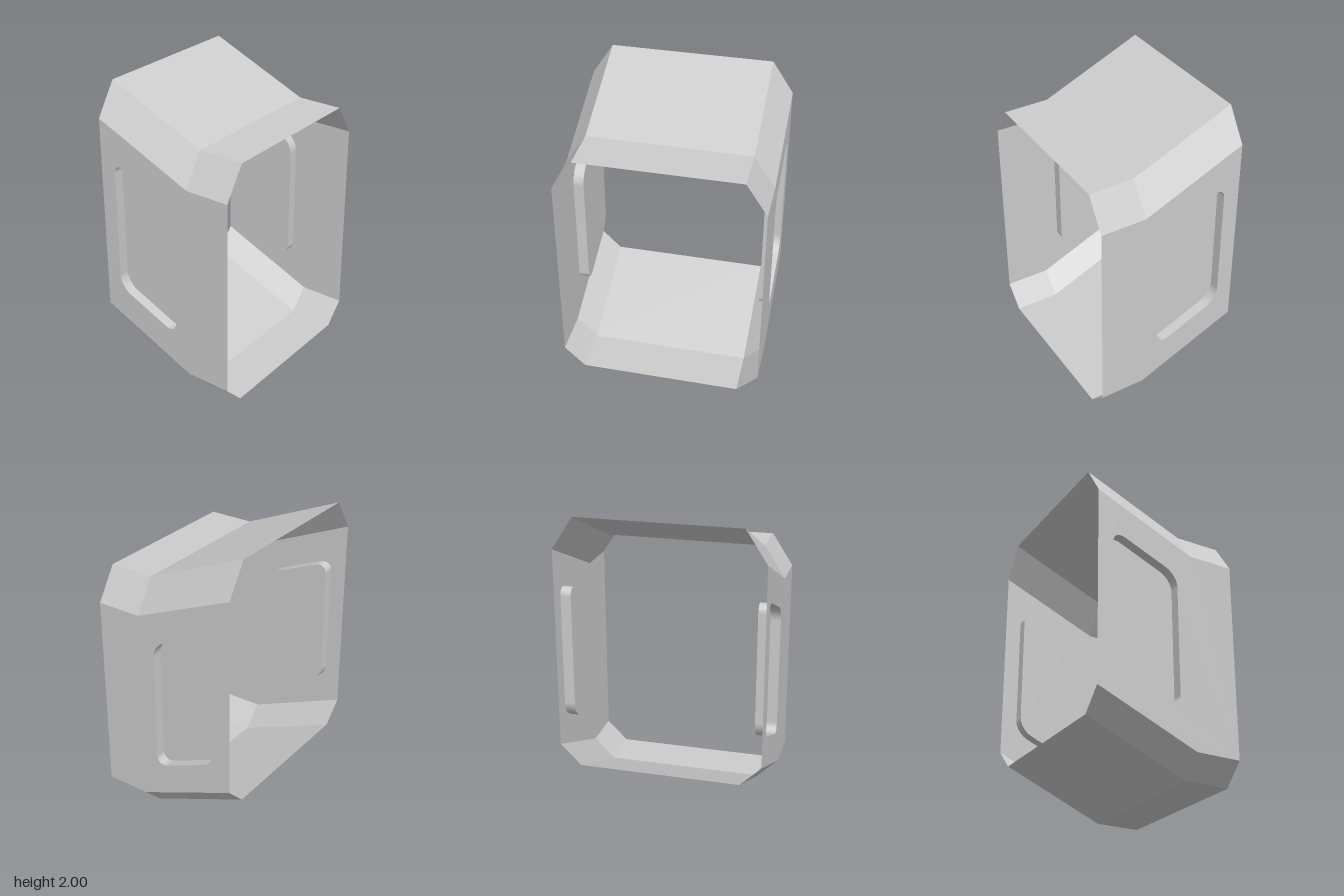
import * as THREE from 'three';

const HALF_W = 0.68, CHAMFER_X = 0.54, RECESS = 0.07;
const RISE = 0.295, SLOPE = RISE / 0.69;
// Depth stations: straight front lip, then a rising sheared body
const STATIONS = [[0.5, 0], [0.19, 0], [-0.5, RISE]];

// Open sheet running front to back between two cross-section corners
function strip(p, q) {
  const pos = [];
  for (let i = 0; i < STATIONS.length - 1; i++) {
    const [z0, y0] = STATIONS[i], [z1, y1] = STATIONS[i + 1];
    const a = [p[0], p[1] + y0, z0], b = [q[0], q[1] + y0, z0];
    const c = [q[0], q[1] + y1, z1], d = [p[0], p[1] + y1, z1];
    pos.push(...a, ...d, ...c, ...a, ...c, ...b);
  }
  const g = new THREE.BufferGeometry();
  g.setAttribute('position', new THREE.Float32BufferAttribute(pos, 3));
  g.computeVertexNormals();
  return g;
}

// Rounded rectangle sheared to follow the slope, in (-z, y)
function windowOutline() {
  const u0 = -0.08, u1 = 0.39, v0 = 0.405, v1 = 1.32, r = 0.085, n = 10;
  const corners = [[u1 - r, v0 + r, -1], [u1 - r, v1 - r, 0], [u0 + r, v1 - r, 1], [u0 + r, v0 + r, 2]];
  const pts = [];
  for (const [cu, cv, k] of corners) {
    for (let i = 0; i <= n; i++) {
      const t = (k + i / n) * Math.PI / 2;
      const u = cu + r * Math.cos(t);
      pts.push(new THREE.Vector2(u, cv + r * Math.sin(t) + (u - u0) * SLOPE));
    }
  }
  return pts;
}

// Smooth band joining the wall opening to the recessed panel
function rimGeometry(pts) {
  const pos = [], index = [], n = pts.length;
  pts.forEach((p, i) => {
    pos.push(HALF_W, p.y, -p.x, HALF_W - RECESS, p.y, -p.x);
    const a = 2 * i, b = 2 * ((i + 1) % n);
    index.push(a, b, a + 1, b, b + 1, a + 1);
  });
  const g = new THREE.BufferGeometry();
  g.setAttribute('position', new THREE.Float32BufferAttribute(pos, 3));
  g.setIndex(index);
  g.computeVertexNormals();
  return g;
}

export function createModel() {
  const model = new THREE.Group();
  model.name = 'frame';
  const grey = new THREE.MeshStandardMaterial({ color: 0xcccccc, side: THREE.DoubleSide });
  grey.name = 'light grey';

  const add = (parent, name, geometry) => {
    const mesh = new THREE.Mesh(geometry, grey);
    mesh.name = name;
    parent.add(mesh);
    return mesh;
  };

  // Top and bottom sheets
  add(model, 'topPanel', strip([CHAMFER_X, 1.705], [-CHAMFER_X, 1.705]));
  add(model, 'bottomPanel', strip([-CHAMFER_X, 0], [CHAMFER_X, 0]));

  // Side wall with a window opening
  const outline = windowOutline();
  const wall = new THREE.Shape([
    [-0.5, 0.14], [-0.19, 0.14], [0.5, 0.14 + RISE],
    [0.5, 1.49 + RISE], [-0.19, 1.49], [-0.5, 1.49],
  ].map(([u, v]) => new THREE.Vector2(u, v)));
  wall.holes.push(new THREE.Path(outline));
  const wallGeo = new THREE.ShapeGeometry(wall).rotateY(Math.PI / 2).translate(HALF_W, 0, 0);
  const panelGeo = new THREE.ShapeGeometry(new THREE.Shape(outline))
    .rotateY(Math.PI / 2).translate(HALF_W - RECESS, 0, 0);
  const rimGeo = rimGeometry(outline);
  const upperGeo = strip([HALF_W, 1.49], [CHAMFER_X, 1.705]);
  const lowerGeo = strip([CHAMFER_X, 0], [HALF_W, 0.14]);

  // Both sides, mirrored
  for (const [name, s] of [['left', 1], ['right', -1]]) {
    const side = new THREE.Group();
    side.name = name + 'Side';
    side.scale.x = s;
    add(side, name + 'Wall', wallGeo);
    add(side, name + 'WindowRim', rimGeo);
    add(side, name + 'WindowPanel', panelGeo);
    add(side, name + 'UpperChamfer', upperGeo);
    add(side, name + 'LowerChamfer', lowerGeo);
    model.add(side);
  }
  return model;
}
